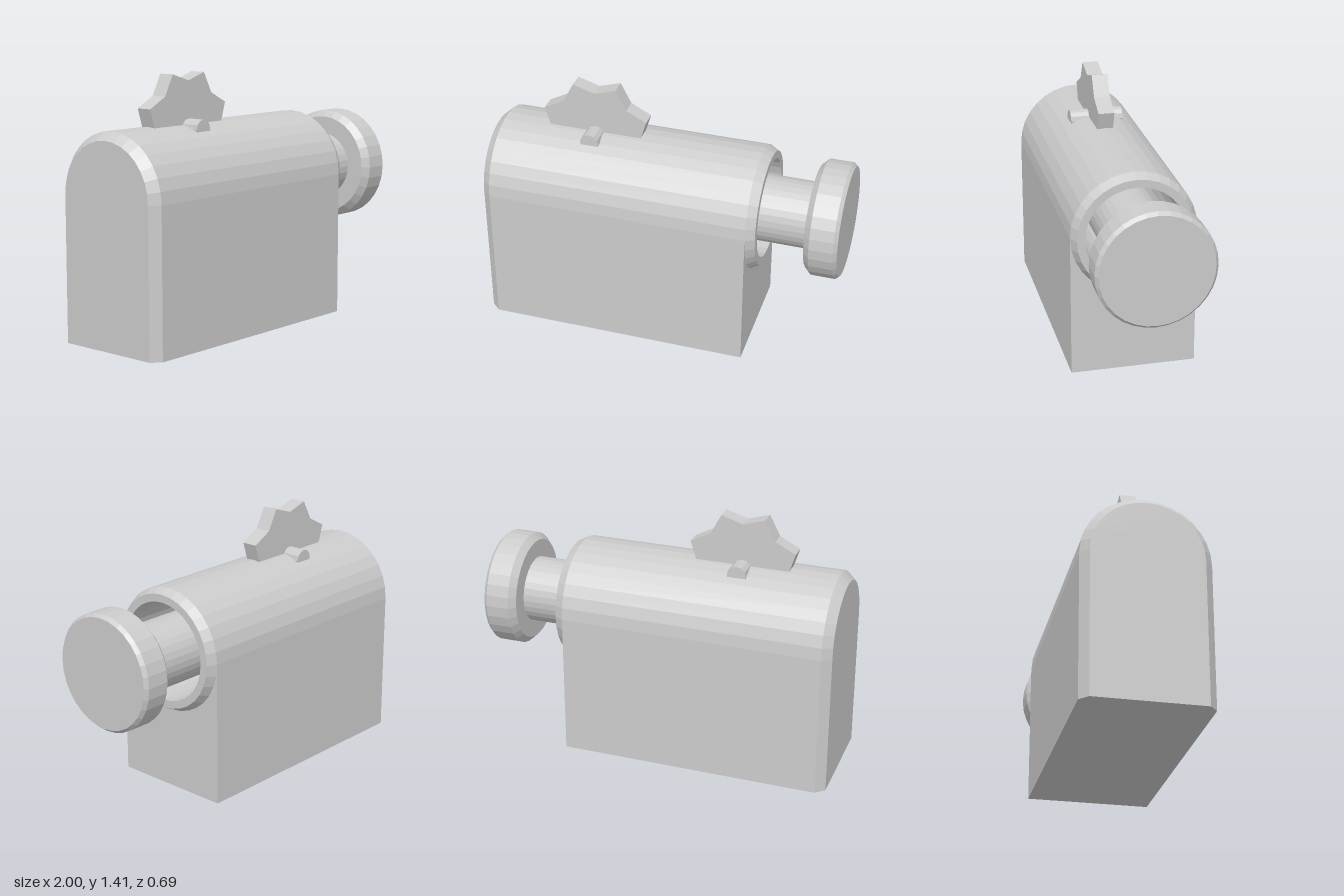
import * as THREE from 'three';

const AXIS_Y = 0.8, R = 0.345, BORE = 0.275;

export function createModel() {
  const model = new THREE.Group();
  const material = new THREE.MeshStandardMaterial({ color: 0xcccccc, flatShading: true });

  function add(name, geometry, x = 0, y = 0, z = 0) {
    const mesh = new THREE.Mesh(geometry, material);
    mesh.name = name;
    mesh.position.set(x, y, z);
    model.add(mesh);
  }

  // Arc points in the plane of a cross-section, 32 sides per full turn
  function arc(radius, sides, cy = 0) {
    return Array.from({ length: sides + 1 }, (_, i) => {
      const a = (i * Math.PI) / 16;
      return new THREE.Vector2(radius * Math.cos(a), cy + radius * Math.sin(a));
    });
  }

  // Arched block section: flat base, straight sides, half-round top
  const archShape = () => new THREE.Shape([
    new THREE.Vector2(-R, 0), new THREE.Vector2(R, 0), ...arc(R, 16, AXIS_Y)]);

  // Extrusion running along x
  const alongX = (shape, depth) =>
    new THREE.ExtrudeGeometry(shape, { depth, bevelEnabled: false }).rotateY(Math.PI / 2);

  // Turned part on the x axis; profile is [radius, x]
  const turned = (profile) => new THREE.LatheGeometry(
    profile.map(([r, x]) => new THREE.Vector2(r, x)), 32).rotateZ(-Math.PI / 2);

  // Hollow body
  const section = archShape();
  section.holes.push(new THREE.Path(arc(BORE, 31, AXIS_Y)));
  add('body', alongX(section, 1.46), -0.95);

  // Closed end with chamfered sides and top, square at the base
  const end = alongX(archShape(), 0.05);
  const p = end.attributes.position;
  const k = (R - 0.045) / R;
  for (let i = 0; i < p.count; i++) {
    if (p.getX(i) > 0.025) continue;
    p.setZ(i, p.getZ(i) * k);
    if (p.getY(i) > AXIS_Y) p.setY(i, AXIS_Y + (p.getY(i) - AXIS_Y) * k);
  }
  end.computeVertexNormals();
  add('chamferedEnd', end, -1);

  // Bevelled collar around the bore
  add('collar', turned([[BORE, 0.51], [R, 0.51], [0.318, 0.56], [BORE, 0.56], [BORE, 0.51]]), 0, AXIS_Y);

  // Plunger rod and knob
  add('rod', turned([[0, -0.95], [0.185, -0.95], [0.185, 0.83]]), 0, AXIS_Y);
  add('knob', turned([[0, 0.815], [0.285, 0.815], [0.32, 0.85], [0.32, 0.98], [0.303, 1], [0, 1]]), 0, AXIS_Y);

  // Upper half of an eight-pointed toothed wheel
  const teeth = [new THREE.Vector2(-0.25, -0.035), new THREE.Vector2(0.25, -0.035)];
  for (let i = 0; i <= 8; i++) {
    const a = (i * Math.PI) / 8, r = i % 2 ? 0.317 : 0.255;
    teeth.push(new THREE.Vector2(r * Math.cos(a), r * Math.sin(a)));
  }
  const wheel = new THREE.ExtrudeGeometry(new THREE.Shape(teeth), { depth: 0.09, bevelEnabled: false });
  add('toothedWheel', wheel, -0.423, 1.12, -0.045);

  // Axle pin of the wheel
  add('axlePin', new THREE.CylinderGeometry(0.053, 0.053, 0.3, 12).rotateX(Math.PI / 2), -0.423, 1.12, 0);

  return model;
}
